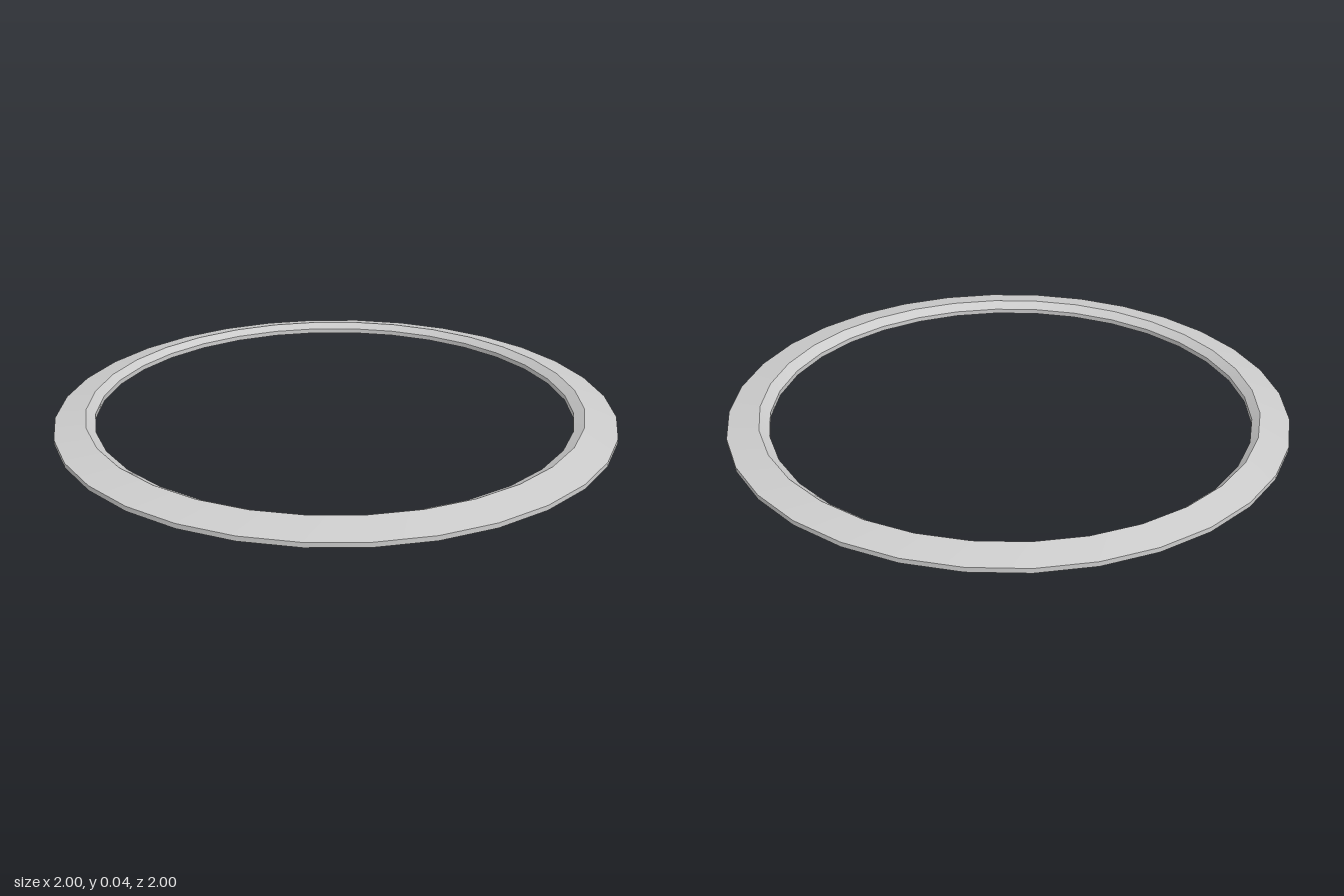
import * as THREE from 'three';

const SIDES = 32;

// Cross-section loops, counter-clockwise: radius, height, centre x, centre z
const outerBottom = { r: 1, y: 0, x: 0, z: 0 };
const outerTop = { r: 1, y: 0.017, x: 0, z: 0 };
const ridge = { r: 0.89, y: 0.04, x: -0.005, z: -0.01 };
const innerTop = { r: 0.858, y: 0.018, x: -0.01, z: -0.018 };
const innerBottom = { r: 0.858, y: 0, x: -0.01, z: -0.018 };

// One closed band between two loops, smooth around and sharp at its edges
function band(name, lower, upper, material) {
  const positions = [];
  const index = [];
  for (let i = 0; i < SIDES; i++) {
    const a = (i / SIDES) * Math.PI * 2;
    for (const c of [lower, upper]) {
      positions.push(c.x + c.r * Math.sin(a), c.y, c.z + c.r * Math.cos(a));
    }
    const p = i * 2;
    const q = ((i + 1) % SIDES) * 2;
    index.push(p, q, q + 1, p, q + 1, p + 1);
  }
  const geometry = new THREE.BufferGeometry();
  geometry.setAttribute('position', new THREE.Float32BufferAttribute(positions, 3));
  geometry.setIndex(index);
  geometry.computeVertexNormals();
  const mesh = new THREE.Mesh(geometry, material);
  mesh.name = name;
  return mesh;
}

export function createModel() {
  const group = new THREE.Group();
  group.name = 'ring';
  const material = new THREE.MeshStandardMaterial({ color: 0xcccccc });
  group.add(
    band('outerRim', outerBottom, outerTop, material),
    band('outerSlope', outerTop, ridge, material),
    band('innerBevel', ridge, innerTop, material),
    band('innerWall', innerTop, innerBottom, material),
    band('underside', innerBottom, outerBottom, material),
  );
  return group;
}
